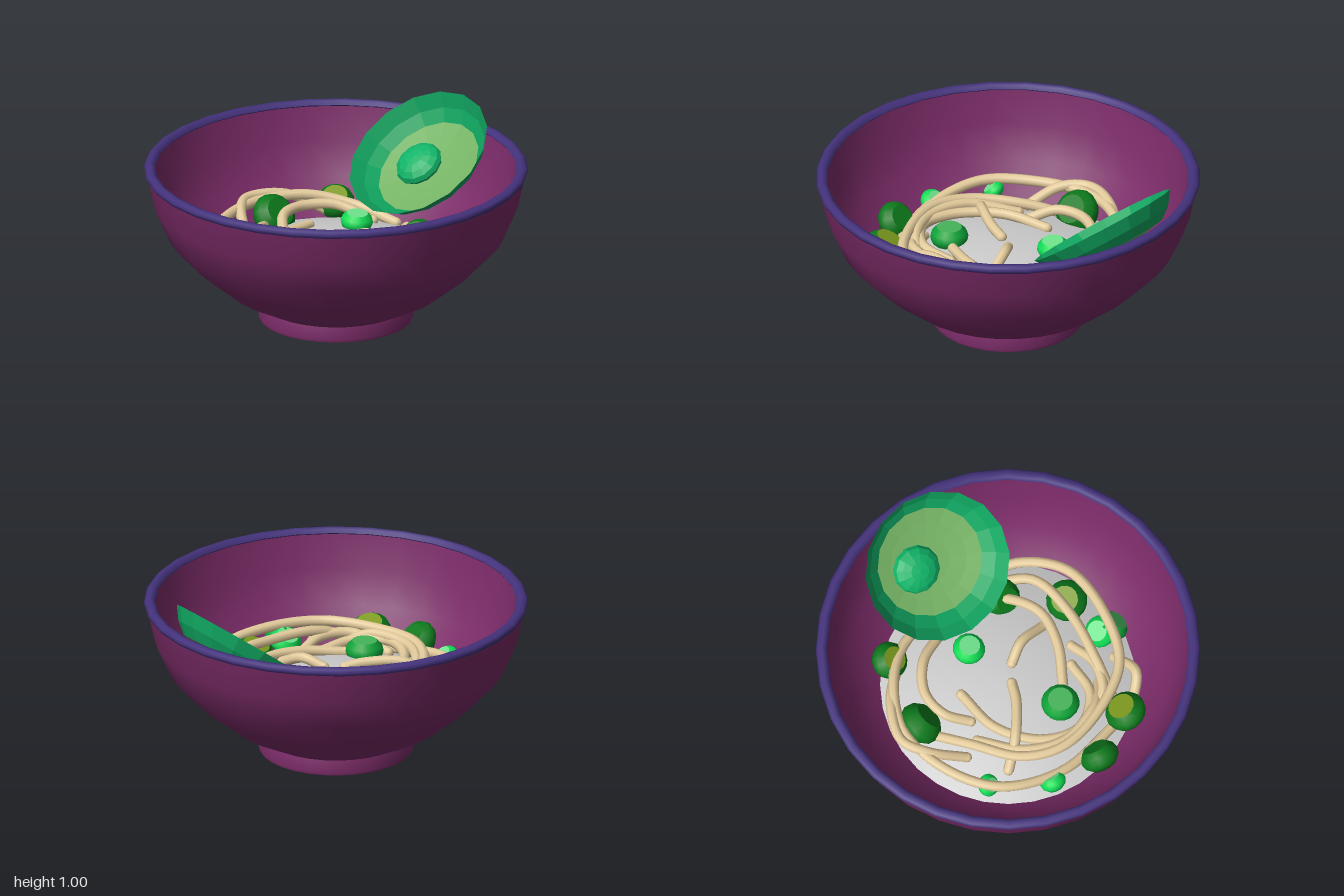
import * as THREE from 'three';
import { toCreasedNormals } from 'three/addons/utils/BufferGeometryUtils.js';

const mat = (color, flatShading = false) =>
  new THREE.MeshStandardMaterial({ color, flatShading, side: THREE.DoubleSide });

function add(parent, name, geometry, material) {
  const mesh = new THREE.Mesh(geometry, material);
  mesh.name = name;
  parent.add(mesh);
  return mesh;
}

// Surface of revolution from [radius, height] pairs
const lathe = (points, sides) =>
  new THREE.LatheGeometry(points.map(([r, y]) => new THREE.Vector2(r, y)), sides);

const brothHeight = (x, z) => 0.45 - 0.14 * (x * x + z * z) / 0.46;

export function createModel() {
  const model = new THREE.Group();
  model.name = 'noodleBowl';

  // Bowl: foot, outer wall, then the inner wall back down to the centre
  const bowl = lathe([
    [0, 0.01], [0.35, 0.005], [0.4, 0.02], [0.405, 0.035], [0.39, 0.1],
    [0.565, 0.19], [0.73, 0.325], [0.875, 0.48], [0.95, 0.65], [0.99, 0.835],
    [0.945, 0.835], [0.905, 0.65], [0.83, 0.48], [0.7, 0.34], [0.54, 0.22], [0.3, 0.13], [0, 0.11],
  ], 32);
  add(model, 'bowl', toCreasedNormals(bowl, 0.65), mat(0x7a2b67));
  const rim = lathe([[0.94, 0.835], [0.95, 0.855], [0.97, 0.86], [0.99, 0.852], [1, 0.838], [0.992, 0.82], [0.95, 0.82], [0.94, 0.835]], 32);
  add(model, 'rim', rim, mat(0x44327c));

  // Gently domed broth
  const brothProfile = [];
  for (let i = 0; i <= 6; i++) {
    const r = 0.69 * (1 - i / 6);
    brothProfile.push([r, brothHeight(r, 0)]);
  }
  add(model, 'broth', lathe(brothProfile, 32), mat(0xcccccc));

  // Noodles: [x, z] paths, lifted in the middle with ends sinking to the broth
  const noodlePaths = [
    [[-0.5, 0.36], [-0.59, -0.05], [-0.5, -0.38], [-0.27, -0.56], [0.03, -0.63], [0.28, -0.53], [0.45, -0.35], [0.52, -0.1]],
    [[0.03, -0.55], [-0.2, -0.38], [-0.42, -0.2], [-0.5, 0], [-0.45, 0.25], [-0.28, 0.51], [0, 0.6], [0.3, 0.58], [0.5, 0.4], [0.55, 0.2]],
    [[0.05, -0.26], [-0.2, -0.22], [-0.4, -0.05], [-0.45, 0.15], [-0.32, 0.3], [-0.13, 0.31]],
    [[-0.05, -0.01], [-0.15, -0.05], [-0.32, -0.17], [-0.42, -0.28]],
    [[0.04, 0.05], [0.1, 0.15], [0.13, 0.3]],
    [[-0.2, 0.21], [0, 0.31], [0.2, 0.33], [0.38, 0.2], [0.5, 0]],
    [[-0.1, -0.3], [0, -0.4], [0.15, -0.42], [0.3, -0.33], [0.4, -0.15]],
    [[-0.48, 0.38], [-0.2, 0.42], [0.1, 0.45], [0.35, 0.4], [0.5, 0.2]],
    [[-0.04, 0.37], [-0.2, 0.41], [-0.36, 0.35], [-0.44, 0.15]],
    [[-0.2, -0.33], [-0.4, -0.16], [-0.47, 0.05], [-0.4, 0.27], [-0.28, 0.38]],
    [[-0.24, -0.42], [-0.13, -0.59], [0, -0.67], [0.2, -0.6], [0.4, -0.42]],
    [[-0.5, 0.42], [-0.36, 0.56], [-0.2, 0.53]],
  ];
  const noodles = new THREE.Group();
  noodles.name = 'noodles';
  model.add(noodles);
  const noodleMat = mat(0xe3cb9c);
  noodlePaths.forEach((path, n) => {
    const points = path.map(([x, z], i) => {
      const lift = Math.sin(Math.PI * i / (path.length - 1));
      const top = 0.475 + 0.02 * Math.sin(n * 2.1);
      return new THREE.Vector3(x, THREE.MathUtils.lerp(brothHeight(x, z) + 0.01, top, Math.min(1, lift * 1.3)), z);
    });
    const curve = new THREE.CatmullRomCurve3(points);
    const tube = new THREE.TubeGeometry(curve, path.length * 6, 0.028, 8);
    add(noodles, 'noodle', tube, noodleMat);
    // Rounded ends
    for (const end of [points[0], points[points.length - 1]]) {
      add(noodles, 'noodleEnd', new THREE.SphereGeometry(0.028, 8, 6), noodleMat).position.copy(end);
    }
  });

  // Vegetable slices: x, z, radius, side colour, cap colour, tilt about x and z
  const dark = 0x0d7a1c, mid = 0x0ea338, bright = 0x10dc55, olive = 0x7c9a1e, pale = 0x6fe38c, leaf = 0x46b45a;
  const slices = [
    [0.04, -0.52, 0.12, dark, dark, 0.9, 0], [0.42, -0.46, 0.1, dark, olive, 0.4, 0.4],
    [-0.44, -0.42, 0.06, bright, pale, 0.5, 0.6], [-0.61, -0.13, 0.07, bright, pale, 0.1, -0.7],
    [-0.63, 0.15, 0.105, dark, dark, 0, -0.9], [-0.28, 0.14, 0.1, mid, leaf, 0, 0],
    [0.23, -0.09, 0.085, bright, pale, 0.1, 0], [-0.5, 0.4, 0.11, dark, olive, -0.25, -0.35],
    [0.18, 0.49, 0.11, dark, olive, -0.3, 0.1], [-0.06, 0.54, 0.085, bright, pale, -0.5, 0],
    [-0.07, 0.61, 0.085, mid, leaf, 0.8, 0], [0.38, 0.22, 0.1, dark, dark, 0.2, 0.8],
    [0.62, 0.32, 0.08, dark, dark, 0.2, 0.7],
  ];
  for (const [x, z, r, side, cap, tiltX, tiltZ] of slices) {
    const slice = new THREE.Group();
    slice.name = 'vegetableSlice';
    const h = r * 0.55;
    const body = lathe([[0, -h], [r * 0.65, -h], [r * 0.92, -h * 0.5], [r, 0], [r * 0.92, h * 0.5], [r * 0.65, h]], 16);
    add(slice, 'sliceSkin', body, mat(side));
    const top = add(slice, 'sliceFace', new THREE.CircleGeometry(r * 0.65, 16), mat(cap));
    top.rotation.x = -Math.PI / 2;
    top.position.y = h;
    slice.position.set(x, Math.max(brothHeight(x, z) + 0.03, 0.42), z);
    slice.rotation.set(tiltX, 0, tiltZ);
    model.add(slice);
  }

  // Halved fruit leaning on the rim: hollow skin, flesh and stone
  const fruit = new THREE.Group();
  fruit.name = 'halvedFruit';
  const skin = lathe([[0.4, 0], [0.35, -0.07], [0.29, -0.12]], 16);
  add(fruit, 'fruitSkin', skin, mat(0x10a560, true));
  const flesh = lathe([[0.29, -0.12], [0.21, -0.135], [0.12, -0.145], [0, -0.15]], 16);
  add(fruit, 'fruitFlesh', flesh, mat(0x74b264, true));
  const stone = add(fruit, 'fruitStone', new THREE.SphereGeometry(0.13, 12, 8), mat(0x10b368, true));
  stone.scale.y = 0.5;
  stone.position.set(0, -0.13, -0.08);
  fruit.position.set(0.61, 0.76, -0.03);
  fruit.rotation.z = 0.648;
  model.add(fruit);

  return model;
}
